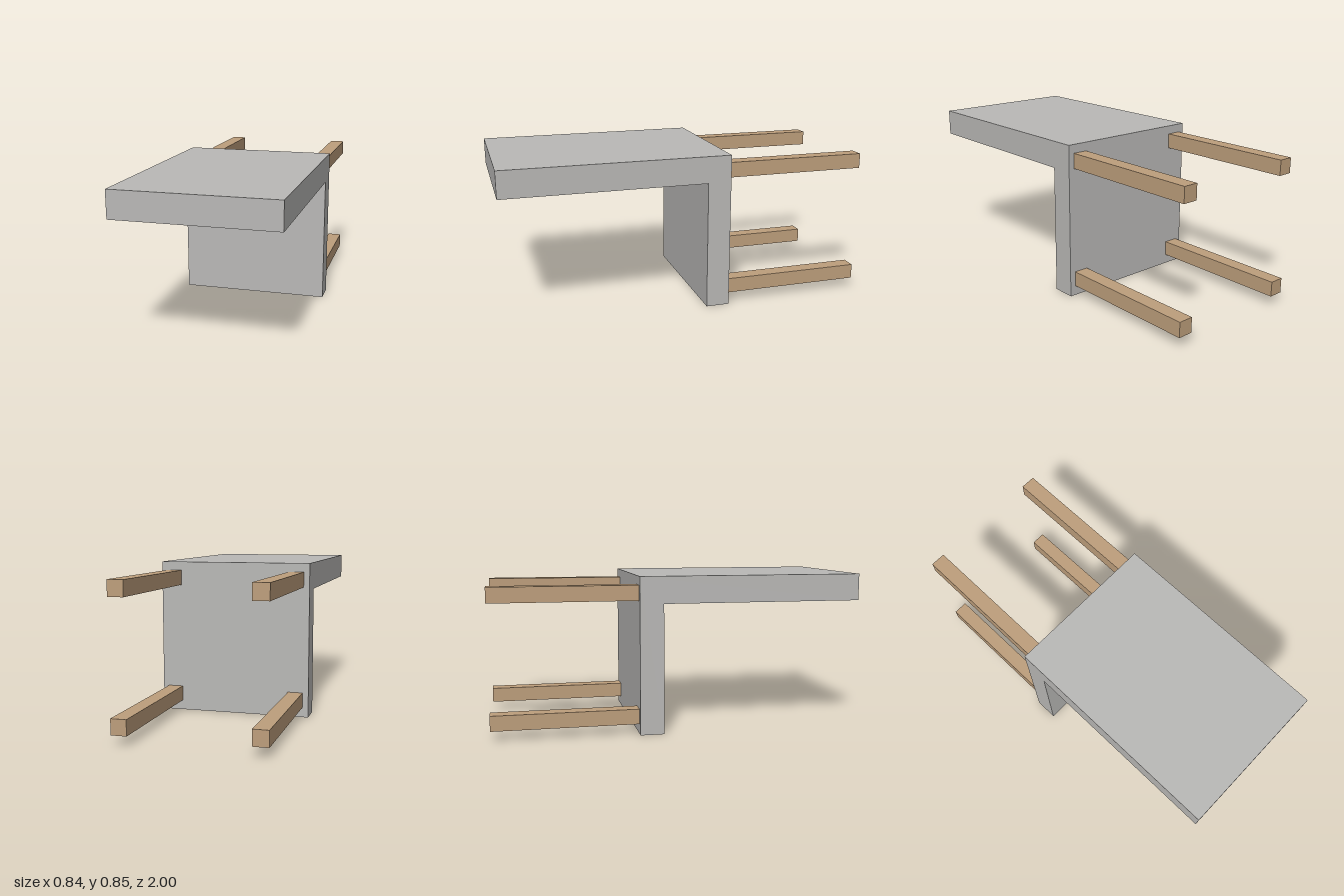
import * as THREE from 'three';

// A simple chair tipped onto its back edge: legs point to -z, backrest lies on top.
export function createModel() {
  const model = new THREE.Group();
  model.name = 'tippedChair';

  const grey = new THREE.MeshStandardMaterial({ color: 0xbab9b7 });
  grey.name = 'warm grey';
  const wood = new THREE.MeshStandardMaterial({ color: 0xbe9f7c });
  wood.name = 'light wood';

  const HALF_WIDTH = 0.421;
  const HEIGHT = 0.845;
  const SEAT_BACK = -0.219; // underside of the seat, where the legs start

  // Seat and backrest: one L-shaped profile, drawn as (z, y) and extruded across x
  const profile = new THREE.Shape([
    [SEAT_BACK, 0], [-0.091, 0], [-0.091, 0.7],
    [1, 0.7], [1, HEIGHT], [SEAT_BACK, HEIGHT],
  ].map(([z, y]) => new THREE.Vector2(-z, y)));
  const bodyGeometry = new THREE.ExtrudeGeometry(profile, {
    depth: HALF_WIDTH * 2, bevelEnabled: false,
  });
  bodyGeometry.translate(0, 0, -HALF_WIDTH).rotateY(Math.PI / 2);
  const body = new THREE.Mesh(bodyGeometry, grey);
  body.name = 'seatAndBackrest';
  model.add(body);

  // Four square legs
  const legLength = 1 + SEAT_BACK;
  const legGeometry = new THREE.BoxGeometry(0.082, 0.082, legLength);
  for (const [side, x] of [['left', 0.348], ['right', -0.348]]) {
    for (const [level, y] of [['Upper', 0.757], ['Lower', 0.095]]) {
      const leg = new THREE.Mesh(legGeometry, wood);
      leg.name = `${side}${level}Leg`;
      leg.position.set(x, y, SEAT_BACK - legLength / 2);
      model.add(leg);
    }
  }

  return model;
}
